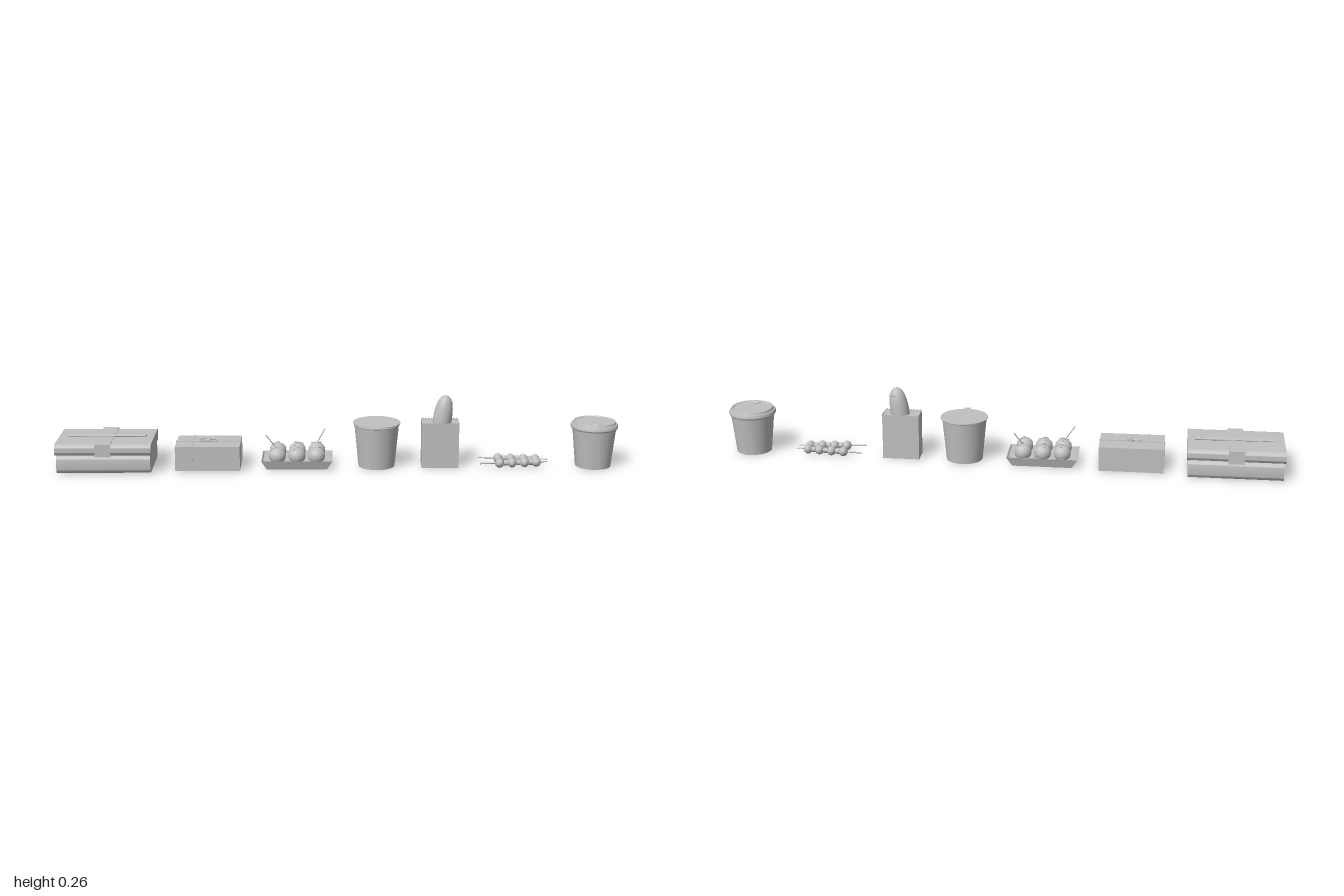
import * as THREE from 'three';
import { toCreasedNormals } from 'three/addons/utils/BufferGeometryUtils.js';

const grey = new THREE.MeshStandardMaterial({ color: 0xc0c0c0, side: THREE.DoubleSide });
grey.name = 'plain grey';

function add(parent, name, geometry, x = 0, y = 0, z = 0) {
  const mesh = new THREE.Mesh(geometry, grey);
  mesh.name = name;
  mesh.position.set(x, y, z);
  parent.add(mesh);
  return mesh;
}

function group(parent, name, x) {
  const g = new THREE.Group();
  g.name = name;
  g.position.x = x;
  parent.add(g);
  return g;
}

const box = (w, h, d) => new THREE.BoxGeometry(w, h, d);
const lathe = (pts, n = 40) => new THREE.LatheGeometry(pts.map(p => new THREE.Vector2(p[0], p[1])), n);
const crispLathe = pts => toCreasedNormals(lathe(pts), 0.5);

// Thin tapered rod between two points
function rod(parent, name, a, b, r0, r1 = r0) {
  const from = new THREE.Vector3(...a), to = new THREE.Vector3(...b);
  const dir = to.clone().sub(from);
  const mesh = add(parent, name, new THREE.CylinderGeometry(r1, r0, dir.length(), 8));
  mesh.position.copy(from).add(to).multiplyScalar(0.5);
  mesh.quaternion.setFromUnitVectors(new THREE.Vector3(0, 1, 0), dir.normalize());
}

// Rounded cross-section in y and z, run along x
function roundedBar(length, height, depth, r) {
  const w = depth / 2, h = height / 2, s = new THREE.Shape();
  s.moveTo(-w + r, -h).lineTo(w - r, -h).quadraticCurveTo(w, -h, w, -h + r);
  s.lineTo(w, h - r).quadraticCurveTo(w, h, w - r, h);
  s.lineTo(-w + r, h).quadraticCurveTo(-w, h, -w, h - r);
  s.lineTo(-w, -h + r).quadraticCurveTo(-w, -h, -w + r, -h);
  const g = new THREE.ExtrudeGeometry(s, { depth: length, bevelEnabled: false, curveSegments: 8 });
  return toCreasedNormals(g.translate(0, 0, -length / 2).rotateY(Math.PI / 2), 0.7);
}

function lunchBox(root) {
  const g = group(root, 'lunchBox', -0.83);
  add(g, 'base', roundedBar(0.332, 0.066, 0.222, 0.02), 0, 0.033);
  add(g, 'lid', roundedBar(0.34, 0.041, 0.234, 0.018), 0, 0.087);
  // Paper band over the lid
  add(g, 'bandTop', box(0.056, 0.003, 0.24), 0, 0.108);
  for (const s of [-1, 1]) {
    add(g, 'bandSide', box(0.056, 0.046, 0.003), 0, 0.0855, s * 0.1185);
    rod(g, 'chopstick', [-0.135, 0.111, s * 0.004], [0.142, 0.111, s * 0.008], 0.0025, 0.0042);
  }
}

function parcel(root) {
  const g = group(root, 'parcel', -0.465);
  add(g, 'carton', box(0.23, 0.088, 0.152), 0, 0.045);
  // String both ways round, with a bow
  add(g, 'longString', box(0.234, 0.091, 0.005), 0, 0.0455);
  add(g, 'crossString', box(0.005, 0.091, 0.156), -0.056, 0.0455);
  for (const s of [-1, 1]) {
    const loop = add(g, 'bowLoop', new THREE.TorusGeometry(0.013, 0.0025, 8, 20), s * 0.018, 0.092, s * 0.004);
    loop.scale.set(1.2, 0.5, 1);
    loop.rotation.set(-0.7, s * 0.3, 0);
    rod(g, 'bowTail', [0, 0.092, 0], [s * 0.03, 0.091, 0.014], 0.002);
  }
  add(g, 'knot', new THREE.SphereGeometry(0.005, 10, 8), 0, 0.093, 0);
}

function snackTray(root) {
  const g = group(root, 'snackTray', -0.148);
  // Four-sided sloping dish, wider at the rim
  const dish = lathe([[0, 0], [0.84, 0], [1, 0.034], [0.975, 0.034], [0.95, 0.029], [0, 0.029]], 4);
  dish.rotateY(Math.PI / 4).scale(0.127 * Math.SQRT2, 1, 0.07 * Math.SQRT2);
  add(g, 'dish', toCreasedNormals(dish, 0.1));
  for (const x of [-0.07, 0, 0.07]) for (const z of [-0.033, 0.033]) {
    add(g, 'ball', new THREE.SphereGeometry(0.03, 20, 14), x, 0.044, z);
    // Sauce cap and a twist of topping
    add(g, 'sauce', new THREE.SphereGeometry(0.032, 20, 6, 0, Math.PI * 2, 0, 1.2), x, 0.044, z);
    for (let i = 0; i < 3; i++) {
      const a = i * 2.1 + x * 20;
      const flake = add(g, 'flake', box(0.02, 0.002, 0.007),
        x + Math.cos(a) * 0.012, 0.0745, z + Math.sin(a) * 0.012);
      flake.rotation.set(0.2, -a, -0.3);
    }
  }
  // Picks leaning out to opposite corners
  rod(g, 'pick', [-0.068, 0.065, 0.025], [-0.11, 0.122, 0.04], 0.002);
  rod(g, 'pick', [0.065, 0.065, -0.03], [0.1, 0.122, -0.055], 0.002);
}

function noodleCup(root) {
  const g = group(root, 'noodleCup', 0.137);
  add(g, 'cup', crispLathe([[0, 0], [0.065, 0], [0.08, 0.154]]));
  add(g, 'rim', new THREE.TorusGeometry(0.08, 0.003, 8, 40).rotateX(Math.PI / 2), 0, 0.154);
  add(g, 'foilLid', new THREE.CylinderGeometry(0.085, 0.085, 0.003, 40), 0, 0.158, -0.004);
  add(g, 'pullTab', box(0.022, 0.002, 0.022), 0, 0.159, 0.083);
}

function breadBag(root) {
  const g = group(root, 'breadBag', 0.364);
  // Wall with a pinked top edge
  const wall = (w, n) => {
    const s = new THREE.Shape();
    s.moveTo(-w / 2, 0).lineTo(w / 2, 0);
    for (let i = 0; i <= 2 * n; i++) s.lineTo(w / 2 - w * i / (2 * n), i % 2 ? 0.167 : 0.162);
    return new THREE.ShapeGeometry(s);
  };
  for (const s of [-1, 1]) {
    add(g, 'broadWall', wall(0.132, 12), 0, 0, s * 0.036).rotation.y = s > 0 ? 0 : Math.PI;
    add(g, 'narrowWall', wall(0.072, 7), s * 0.066, 0, 0).rotation.y = s * Math.PI / 2;
  }
  add(g, 'bottom', box(0.132, 0.002, 0.072), 0, 0.001);
  add(g, 'wrapper', box(0.131, 0.002, 0.071), 0, 0.16);
  // Leaning blunt loaf with a slash across the crust
  const loaf = group(g, 'loaf', 0.006);
  loaf.position.y = 0.163;
  loaf.rotation.z = -0.15;
  add(loaf, 'bread', lathe([[0.033, -0.03], [0.034, 0], [0.0335, 0.025], [0.031, 0.05], [0.0265, 0.07],
    [0.019, 0.086], [0.01, 0.094], [0, 0.096]], 28));
  const slash = add(loaf, 'slash', new THREE.TorusGeometry(0.0255, 0.002, 6, 20, Math.PI).rotateX(Math.PI / 2), 0, 0.073);
  slash.rotation.y = Math.PI / 2;
}

function skewers(root) {
  const g = group(root, 'skewers', 0.63);
  for (const s of [-1, 1]) {
    const zAt = x => s * (0.027 - x * 0.1);
    rod(g, 'stick', [-0.123, 0.017, zAt(-0.123)], [0.123, 0.017, zAt(0.123)], 0.0028, 0.002);
    [-0.053, -0.008, 0.037, 0.08].forEach((x, i) => {
      const piece = add(g, 'morsel', new THREE.SphereGeometry(0.017, 14, 10), x, 0.017, zAt(x));
      piece.scale.set(0.95, 1, 1.15);
      if (i < 3) add(g, 'slice', new THREE.CylinderGeometry(0.01, 0.01, 0.014, 10).rotateZ(Math.PI / 2),
        x + 0.022, 0.017, zAt(x + 0.022));
    });
  }
}

function drinkCup(root) {
  const g = group(root, 'drinkCup', 0.916);
  add(g, 'cup', crispLathe([[0, 0], [0.063, 0], [0.078, 0.142]]));
  // Snap-on lid with a thick rim, a raised lip and a sunken top
  add(g, 'lid', crispLathe([[0.078, 0.139], [0.081, 0.139], [0.084, 0.144], [0.084, 0.152], [0.082, 0.156],
    [0.077, 0.157], [0.074, 0.165], [0.071, 0.165], [0.069, 0.162], [0, 0.162]]));
  add(g, 'sipSpout', new THREE.SphereGeometry(1, 16, 10).scale(0.017, 0.005, 0.011), 0, 0.163, 0.054);
}

export function createModel() {
  const root = new THREE.Group();
  root.name = 'takeawayFood';
  for (const build of [lunchBox, parcel, snackTray, noodleCup, breadBag, skewers, drinkCup]) build(root);
  return root;
}
